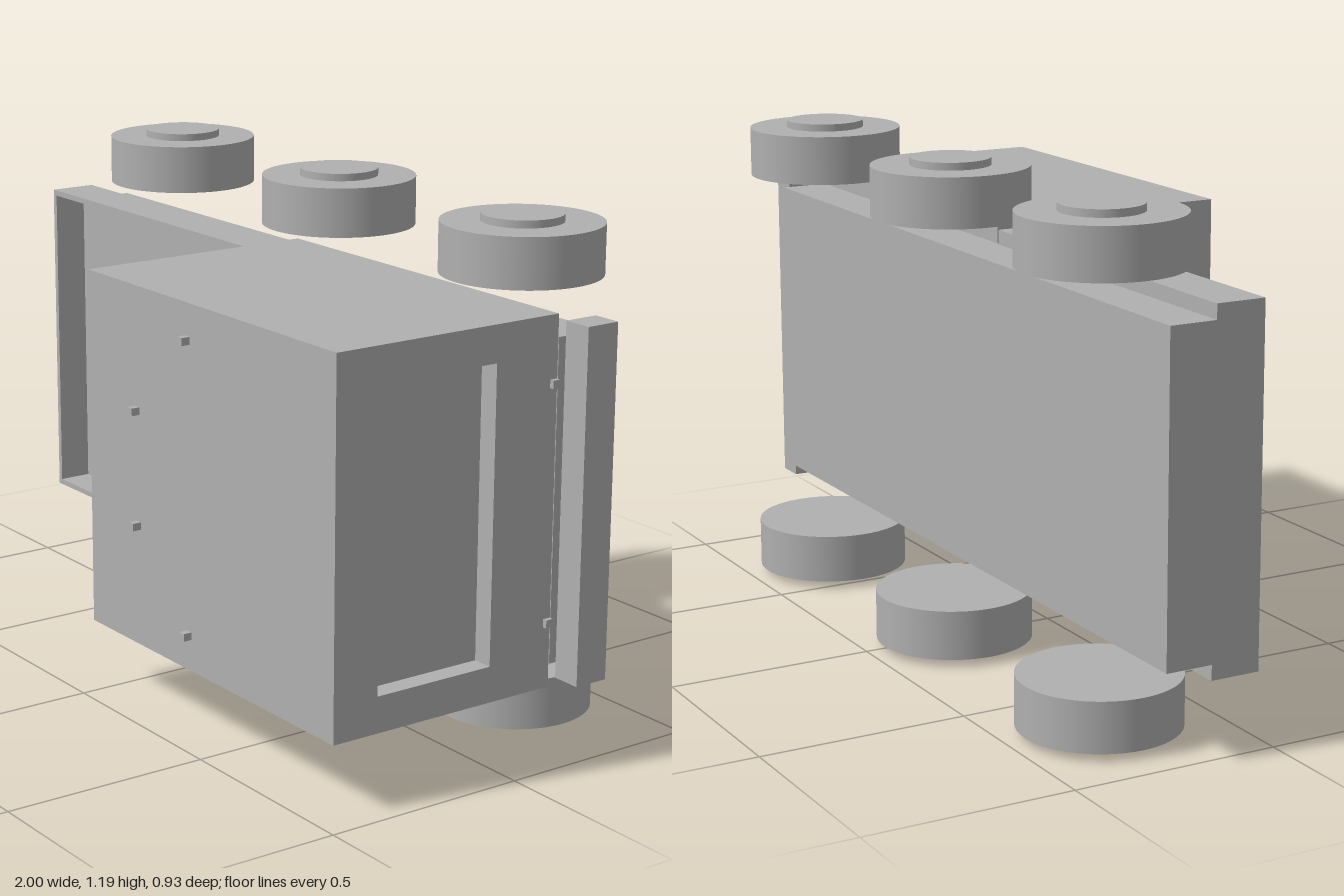
import * as THREE from 'three';

const grey = new THREE.MeshStandardMaterial({ color: 0xb0b0b0 });
grey.name = 'plain grey';

function add(parent, name, geometry, x = 0, y = 0, z = 0) {
  const mesh = new THREE.Mesh(geometry, grey);
  mesh.name = name;
  mesh.position.set(x, y, z);
  parent.add(mesh);
  return mesh;
}

// Box given by its limits on each axis
function box(parent, name, [x0, x1], [y0, y1], [z0, z1]) {
  return add(parent, name, new THREE.BoxGeometry(x1 - x0, y1 - y0, z1 - z0),
    (x0 + x1) / 2, (y0 + y1) / 2, (z0 + z1) / 2);
}

// Rectangular frame in the u-v plane, extruded by depth
function frame([u0, u1], [v0, v1], [hu0, hu1], [hv0, hv1], depth) {
  const rect = (C, a, b, c, d) => {
    const p = new C();
    p.moveTo(a, c).lineTo(b, c).lineTo(b, d).lineTo(a, d).closePath();
    return p;
  };
  const shape = rect(THREE.Shape, u0, u1, v0, v1);
  shape.holes.push(rect(THREE.Path, hu0, hu1, hv0, hv1));
  return new THREE.ExtrudeGeometry(shape, { depth, bevelEnabled: false });
}

function group(parent, name) {
  const g = new THREE.Group();
  g.name = name;
  parent.add(g);
  return g;
}

// Tyre with a raised hub on its +y side, centred on the tyre
function wheel(parent, name, tyreRadius, tyreWidth, hubRadius, hubHeight) {
  const g = group(parent, name);
  add(g, 'tyre', new THREE.CylinderGeometry(tyreRadius, tyreRadius, tyreWidth, 64));
  add(g, 'hub', new THREE.CylinderGeometry(hubRadius, hubRadius, hubHeight, 64),
    0, (tyreWidth + hubHeight) / 2, 0);
  return g;
}

export function createModel() {
  const model = new THREE.Group();
  model.name = 'truck';
  const midY = 0.597;

  // Chassis and bumper
  box(model, 'chassis', [-1, 0.925], [0.22, 0.975], [-0.277, -0.158]);
  box(model, 'bumper', [0.928, 1], [0.184, 1.01], [-0.26, -0.175]);

  // Open cargo bed: floor with a thin wall around it
  const bed = group(model, 'cargoBed');
  box(bed, 'bedFloor', [-1, -0.053], [0.184, 1.01], [-0.163, -0.128]);
  add(bed, 'bedWalls',
    frame([-1, -0.053], [0.184, 1.01], [-0.986, -0.067], [0.198, 0.996], 0.085), 0, 0, -0.128);
  for (const x of [-0.83, -0.553, -0.277])
    for (const y of [0.39, 0.804])
      add(bed, 'bedStud', new THREE.BoxGeometry(0.018, 0.018, 0.02), x, y, -0.118);

  // Cab with a recessed windscreen on its +x end
  const cab = group(model, 'cab');
  const recess = 0.05;
  box(cab, 'cabBody', [-0.036, 0.925 - recess], [0.166, 1.028], [-0.156, 0.445]);
  const screen = add(cab, 'windscreenFrame',
    frame([-0.445, 0.156], [0.166, 1.028], [-0.328, -0.016], [0.251, 0.942], recess),
    0.925 - recess, 0, 0);
  screen.rotation.y = Math.PI / 2;

  // Small lamps on the cab, mirrored about the middle
  for (const s of [-1, 1]) {
    add(cab, 'roofLamp', new THREE.BoxGeometry(0.018, 0.018, 0.021), 0.168, midY + s * 0.138, 0.4555);
    add(cab, 'roofLamp', new THREE.BoxGeometry(0.018, 0.018, 0.021), 0.376, midY + s * 0.346, 0.4555);
    add(cab, 'headLamp', new THREE.BoxGeometry(0.012, 0.019, 0.019), 0.93, midY + s * 0.276, -0.146);
  }

  // Spare wheel on the rear wall of the cab
  const spare = wheel(model, 'spareWheel', 0.189, 0.07, 0.153, 0.016);
  spare.position.set(-0.071, midY, 0.134);
  spare.rotation.z = Math.PI / 2;

  // Six road wheels, hubs facing outwards
  for (const x of [-0.727, -0.036, 0.653]) {
    for (const s of [-1, 1]) {
      const w = wheel(model, 'roadWheel', 0.189, 0.12, 0.096, 0.018);
      w.position.set(x, midY + s * 0.517, -0.28);
      if (s < 0) w.rotation.x = Math.PI;
    }
  }
  return model;
}
